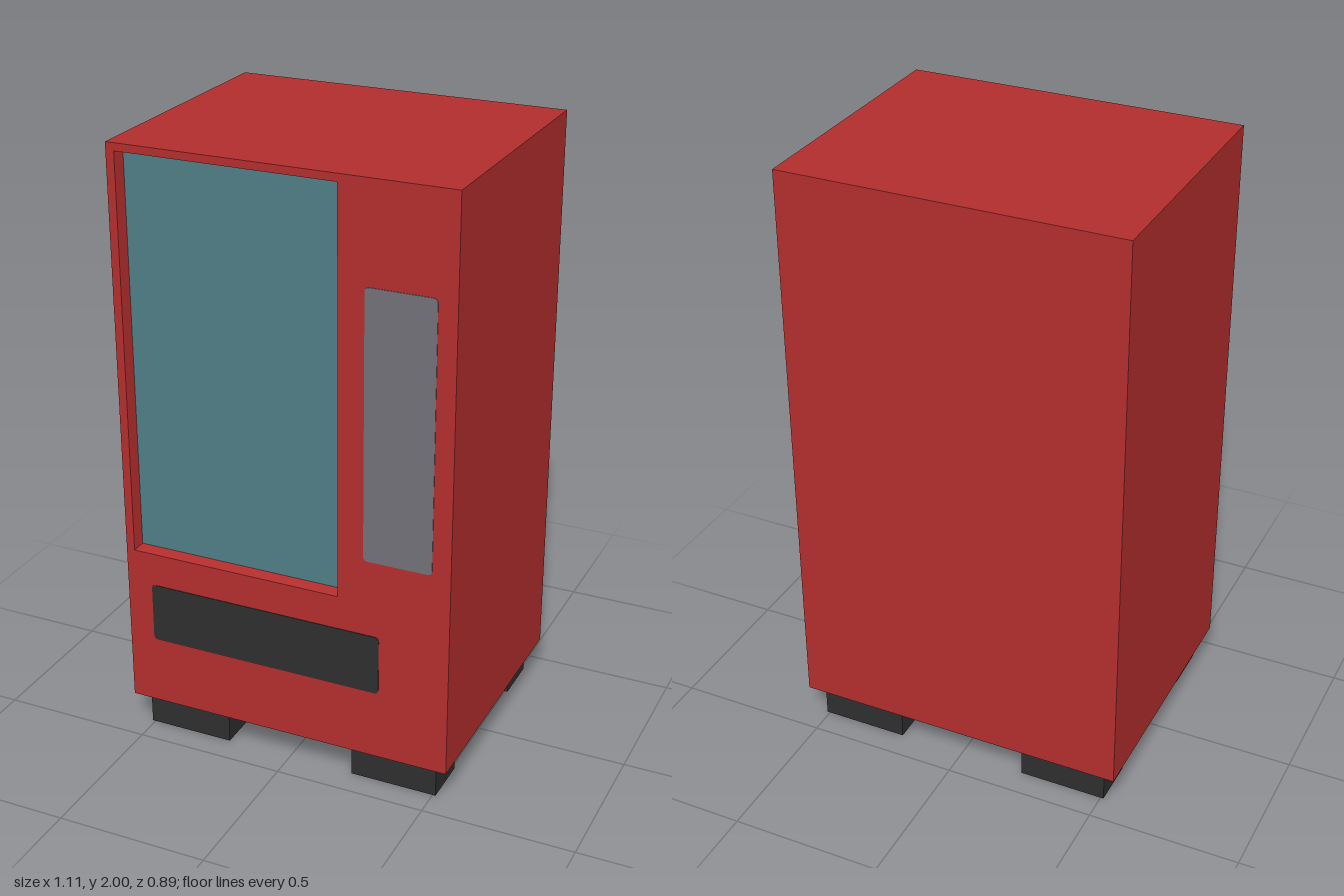
import * as THREE from 'three';

const red = new THREE.MeshStandardMaterial({ name: 'cabinetRed', color: 0xb32d2d });
const glass = new THREE.MeshStandardMaterial({ name: 'glassTeal', color: 0x517d86 });
const grey = new THREE.MeshStandardMaterial({ name: 'panelGrey', color: 0x707078 });
const black = new THREE.MeshStandardMaterial({ name: 'trimBlack', color: 0x2e2e2e });

const W = 1.11, D = 0.886, BOTTOM = 0.115, TOP = 2, FRONT = D / 2;
const RECESS = 0.04;

// Corners of a rectangle, counter-clockwise
const corners = (x0, y0, x1, y1) => [[x0, y0], [x1, y0], [x1, y1], [x0, y1]];
const toPoints = (list) => list.map(([x, y]) => new THREE.Vector2(x, y));

function add(group, name, geometry, material, x = 0, y = 0, z = 0) {
  const mesh = new THREE.Mesh(geometry, material);
  mesh.name = name;
  mesh.position.set(x, y, z);
  group.add(mesh);
  return mesh;
}

// Thin plate with slightly rounded corners
function plate(x0, y0, x1, y1, r = 0.015) {
  const s = new THREE.Shape();
  s.moveTo(x0 + r, y0);
  s.lineTo(x1 - r, y0).quadraticCurveTo(x1, y0, x1, y0 + r);
  s.lineTo(x1, y1 - r).quadraticCurveTo(x1, y1, x1 - r, y1);
  s.lineTo(x0 + r, y1).quadraticCurveTo(x0, y1, x0, y1 - r);
  s.lineTo(x0, y0 + r).quadraticCurveTo(x0, y0, x0 + r, y0);
  return new THREE.ExtrudeGeometry(s, { depth: 0.002, bevelEnabled: false, curveSegments: 4 });
}

// Inward-facing walls joining the window opening to the glass
function recessWalls(outer, inner) {
  const pos = [];
  for (let i = 0; i < 4; i++) {
    const j = (i + 1) % 4;
    const a = [...outer[i], FRONT], b = [...outer[j], FRONT];
    const c = [...inner[j], FRONT - RECESS], d = [...inner[i], FRONT - RECESS];
    pos.push(...a, ...b, ...c, ...a, ...c, ...d);
  }
  const g = new THREE.BufferGeometry();
  g.setAttribute('position', new THREE.Float32BufferAttribute(pos, 3));
  g.computeVertexNormals();
  return g;
}

export function createModel() {
  const group = new THREE.Group();
  group.name = 'vendingMachine';

  // Cabinet: a box whose +z side is replaced by a front with an opening
  const box = new THREE.BoxGeometry(W, TOP - BOTTOM, D);
  const index = Array.from(box.index.array);
  index.splice(24, 6);
  box.setIndex(index);
  box.clearGroups();
  add(group, 'cabinet', box, red, 0, (TOP + BOTTOM) / 2, 0);

  const opening = corners(-0.527, 0.66, 0.187, 1.975);
  const pane = corners(-0.52, 0.667, 0.18, 1.968);
  const front = new THREE.Shape(toPoints(corners(-W / 2, BOTTOM, W / 2, TOP)));
  front.holes.push(new THREE.Path(toPoints(opening)));
  add(group, 'cabinetFront', new THREE.ShapeGeometry(front), red, 0, 0, FRONT);

  // Recessed display window
  add(group, 'windowRecess', recessWalls(opening, pane), red);
  add(group, 'windowGlass', new THREE.ShapeGeometry(new THREE.Shape(toPoints(pane))), glass, 0, 0, FRONT - RECESS);

  // Control panel and collection slot
  add(group, 'controlPanel', plate(0.272, 0.805, 0.495, 1.68), grey, 0, 0, FRONT);
  add(group, 'collectionSlot', plate(-0.468, 0.347, 0.325, 0.548), black, 0, 0, FRONT);

  // Four feet
  const foot = new THREE.BoxGeometry(0.29, BOTTOM, 0.162);
  for (const sx of [-1, 1]) {
    for (const sz of [-1, 1]) {
      const name = (sz > 0 ? 'front' : 'back') + (sx > 0 ? 'Left' : 'Right') + 'Foot';
      add(group, name, foot, black, sx * 0.365, BOTTOM / 2, sz * 0.329);
    }
  }
  return group;
}
